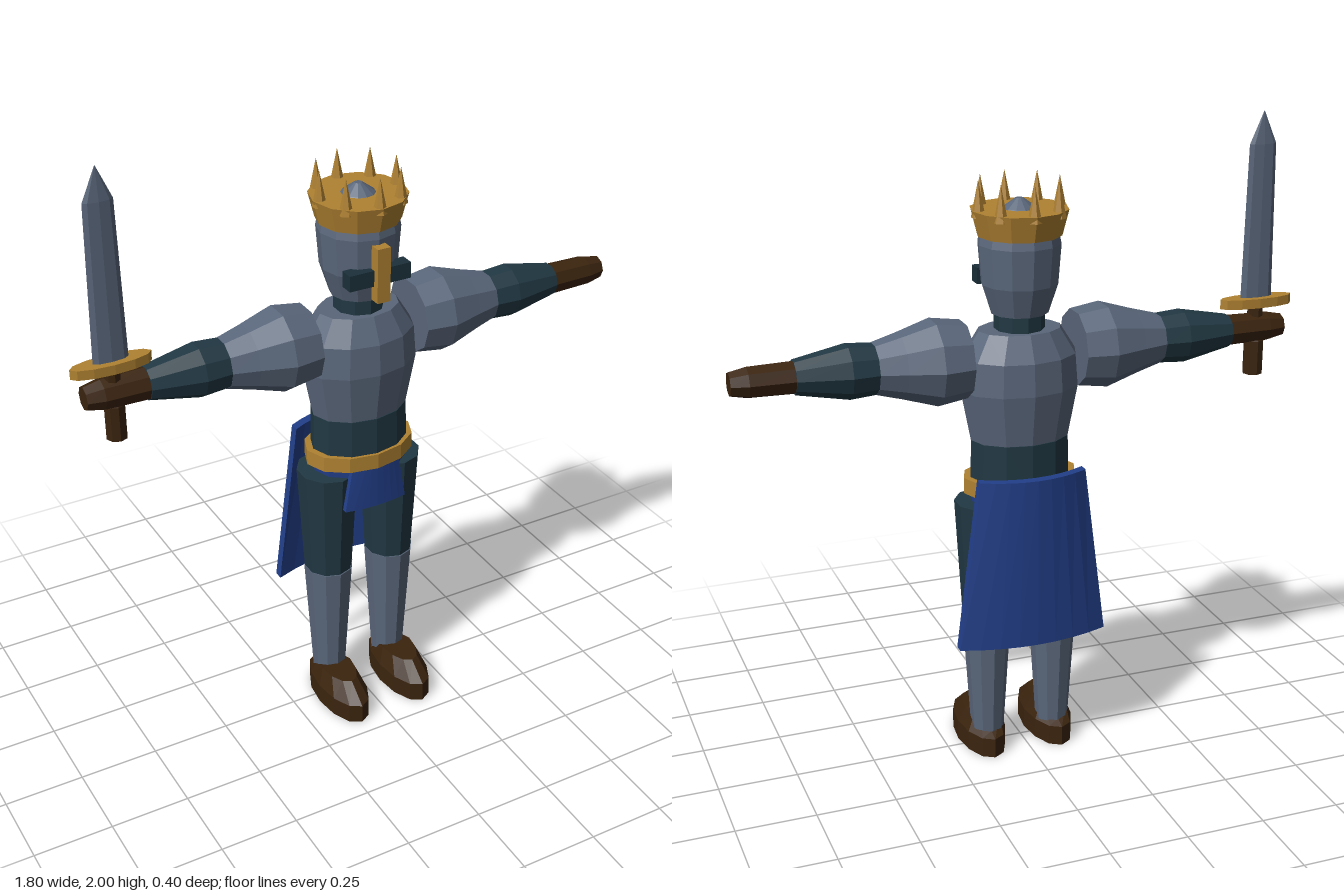
import * as THREE from 'three';

const mat = (name, color) => {
  const m = new THREE.MeshStandardMaterial({ color, flatShading: true });
  m.name = name;
  return m;
};

export function createModel() {
  const steel = mat('steel', 0x5a677b);
  const gold = mat('gold', 0xb08232);
  const cloth = mat('dark teal cloth', 0x213843);
  const leather = mat('brown leather', 0x3b240e);
  const blue = mat('blue fabric', 0x223f8a);
  const slit = mat('visor slit', 0x1c303b);

  const model = new THREE.Group();
  model.name = 'knight';
  const body = new THREE.Group();
  body.name = 'figure';
  body.position.set(0.015, 0, -0.033);
  model.add(body);

  const add = (name, geo, material, parent = body) => {
    const mesh = new THREE.Mesh(geo, material);
    mesh.name = name;
    parent.add(mesh);
    return mesh;
  };
  // Closed turned solid: profile of [radius, height] from bottom to top
  const turned = (profile, sides = 12, depth = 1) => {
    const pts = profile.map(([r, y]) => new THREE.Vector2(r, y));
    pts.unshift(new THREE.Vector2(0, profile[0][1]));
    pts.push(new THREE.Vector2(0, profile[profile.length - 1][1]));
    return new THREE.LatheGeometry(pts, sides).scale(1, 1, depth);
  };
  const box = (w, h, d, x, y, z) => new THREE.BoxGeometry(w, h, d).translate(x, y, z);

  // Curved trapezoid panel hanging between two heights
  const panel = (top, bottom, y0, y1, z, thick, bend) => {
    const geo = new THREE.BoxGeometry(2, 1, thick, 8, 1, 1);
    const p = geo.attributes.position;
    for (let i = 0; i < p.count; i++) {
      const u = p.getX(i), t = p.getY(i) + 0.5;
      p.setXYZ(i, u * (bottom + (top - bottom) * t), y0 + (y1 - y0) * t, z + p.getZ(i) + bend * u * u);
    }
    geo.computeVertexNormals();
    return geo;
  };

  // Boot from stacked oval rings: sole, side wall and sloping instep
  const bootGeometry = () => {
    const n = 12, pos = [], idx = [];
    const rings = [
      [0.072, 0.16, 0.073, () => 0],
      [0.072, 0.16, 0.073, () => 0.065],
      [0.052, 0.108, 0.055, (z) => (z < 0.03 ? 0.12 - (0.03 - z) * 0.5 : 0.12)],
    ];
    rings.forEach(([w, l, c, h]) => {
      for (let i = 0; i < n; i++) {
        const a = (i / n) * Math.PI * 2, z = c + l * Math.cos(a);
        pos.push(w * Math.sin(a), h(z), z);
      }
    });
    pos.push(0, 0, 0.073, 0, 0.12, 0.055);
    for (let i = 0; i < n; i++) {
      const j = (i + 1) % n;
      for (let r = 0; r < 2; r++) {
        const a = r * n + i, b = r * n + j;
        idx.push(a, b, b + n, a, b + n, a + n);
      }
      idx.push(3 * n, j, i, 3 * n + 1, 2 * n + i, 2 * n + j);
    }
    const geo = new THREE.BufferGeometry();
    geo.setAttribute('position', new THREE.Float32BufferAttribute(pos, 3));
    geo.setIndex(idx);
    geo.computeVertexNormals();
    return geo;
  };

  // Torso, waist, hips and belt
  add('breastplate', turned([[0.157, 1.06], [0.188, 1.22], [0.18, 1.32], [0.13, 1.4]], 12, 0.73), steel);
  add('waist', turned([[0.16, 0.9], [0.157, 1.06]], 12, 0.75), cloth);
  add('hips', turned([[0.155, 0.855], [0.16, 0.9]], 12, 0.74), blue);
  add('belt', turned([[0.181, 0.89], [0.181, 0.94]], 12, 0.71), gold);
  add('frontTabard', panel(0.083, 0.107, 0.75, 0.89, 0.113, 0.02, -0.012), blue);
  add('backCape', panel(0.17, 0.24, 0.42, 0.965, -0.152, 0.03, 0.045), blue);

  // Head and helmet
  add('neck', turned([[0.077, 1.38], [0.077, 1.48]], 10), cloth);
  add('helmet', turned([[0.088, 1.45], [0.117, 1.54], [0.126, 1.66], [0.118, 1.7], [0.05, 1.765], [0.012, 1.793]], 12), steel);
  add('eyeSlit', box(0.204, 0.05, 0.045, 0, 1.545, 0.111), slit);
  add('noseGuard', box(0.043, 0.172, 0.036, 0, 1.558, 0.136), gold);

  // Crown with a ring of eight spikes
  const crown = new THREE.Group();
  crown.name = 'crown';
  body.add(crown);
  add('crownBand', turned([[0.128, 1.685], [0.148, 1.763]], 12), gold, crown);
  for (let i = 0; i < 8; i++) {
    const a = (i * Math.PI) / 4;
    add('crownSpike', new THREE.ConeGeometry(0.022, 0.11, 6), gold, crown)
      .position.set(0.127 * Math.sin(a), 1.798, 0.127 * Math.cos(a));
  }

  for (const [side, s] of [['left', 1], ['right', -1]]) {
    // Arm stretched out sideways
    const arm = new THREE.Group();
    arm.name = side + 'Arm';
    arm.position.set(0, 1.32, 0);
    arm.rotation.z = -s * Math.PI / 2;
    body.add(arm);
    add('pauldron', turned([[0.118, 0.177], [0.132, 0.272], [0.1, 0.375], [0.078, 0.455]], 10), steel, arm);
    add('sleeve', turned([[0.077, 0.452], [0.083, 0.535], [0.052, 0.695]], 10), cloth, arm);
    add('glove', turned([[0.05, 0.692], [0.047, 0.83], [0.036, 0.883]], 8), leather, arm);

    // Leg
    const leg = new THREE.Group();
    leg.name = side + 'Leg';
    leg.position.x = s * 0.111;
    body.add(leg);
    add('thigh', turned([[0.076, 0.485], [0.097, 0.86]], 10, 1.05), cloth, leg);
    add('greave', turned([[0.052, 0.07], [0.078, 0.495]], 10, 1.08), steel, leg);
    add('boot', bootGeometry(), leather, leg).position.x = s * 0.004;
  }

  // Sword held upright in the right hand
  const sword = new THREE.Group();
  sword.name = 'sword';
  sword.position.x = -0.793;
  body.add(sword);
  add('blade', turned([[0.054, 1.41], [0.045, 1.9], [0.001, 2]], 8, 0.25), steel, sword);
  add('crossguard', turned([[0.123, 1.39], [0.123, 1.42]], 12, 0.28), gold, sword);
  add('grip', turned([[0.032, 1.17], [0.032, 1.28], [0.025, 1.3], [0.025, 1.395]], 8), leather, sword);

  return model;
}
